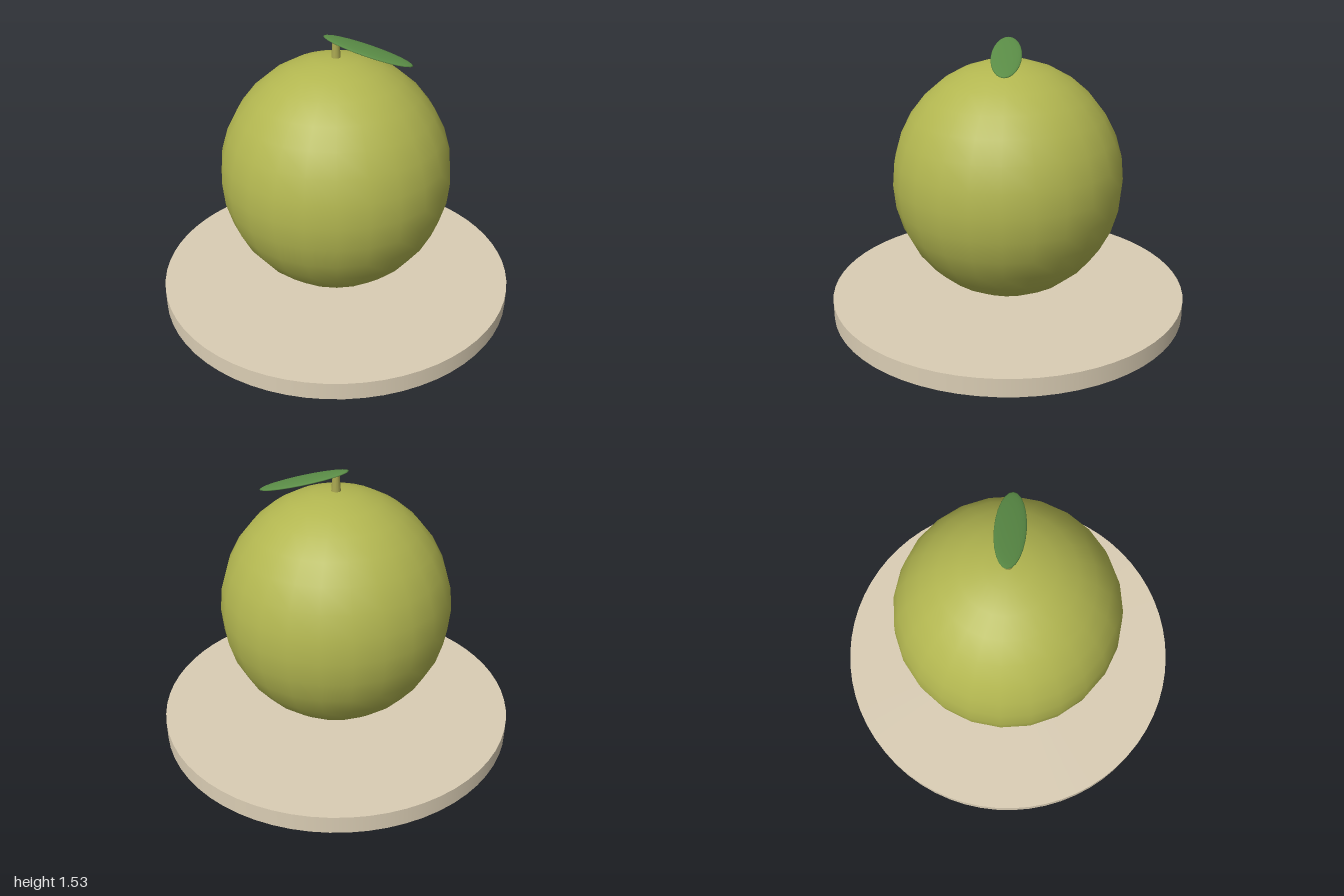
import * as THREE from 'three';

const material = (name, color) => {
  const m = new THREE.MeshStandardMaterial({ color });
  m.name = name;
  return m;
};

export function createModel() {
  const group = new THREE.Group();
  group.name = 'fruitOnPlate';

  const add = (name, geometry, mat, x, y) => {
    const mesh = new THREE.Mesh(geometry, mat);
    mesh.name = name;
    mesh.position.set(x, y, 0);
    group.add(mesh);
    return mesh;
  };

  // Flat round plate
  add('plate', new THREE.CylinderGeometry(1, 1, 0.1, 64), material('cream', 0xdacdb4), 0, 0.05);

  // Slightly tall round fruit, sunk a little into the plate
  const fruit = add('fruit', new THREE.SphereGeometry(1, 24, 16), material('olive green', 0xb2b650), 0, 0.752);
  fruit.scale.set(0.638, 0.665, 0.638);

  // Tapered stem
  add('stem', new THREE.CylinderGeometry(0.018, 0.028, 0.13, 12), material('stem olive', 0xa8a650), 0, 1.445);

  // Thin lens-shaped leaf, drooping to the left side
  const leaf = add('leaf', new THREE.SphereGeometry(1, 24, 12), material('leaf green', 0x5a8c46), 0.17, 1.463);
  leaf.scale.set(0.245, 0.012, 0.08);
  leaf.rotation.z = -0.257;

  return group;
}
